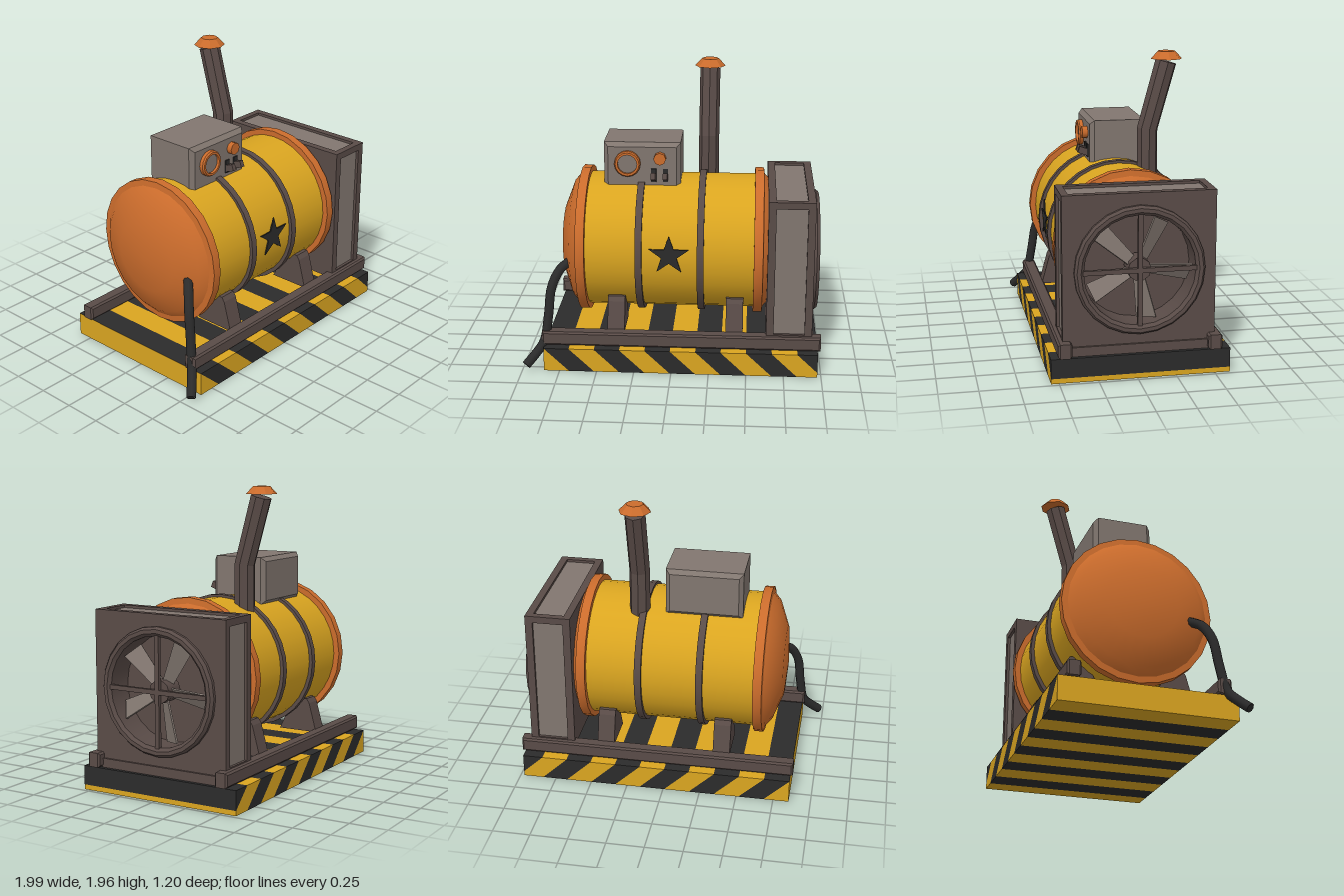
import * as THREE from 'three';
import { toCreasedNormals } from 'three/addons/utils/BufferGeometryUtils.js';

const paint = (name, color) => {
  const m = new THREE.MeshStandardMaterial({ color });
  m.name = name;
  return m;
};

export function createModel() {
  const model = new THREE.Group();
  model.name = 'generator';
  const yellow = paint('yellow paint', 0xdaa520);
  const black = paint('black rubber', 0x2b2b2b);
  const brown = paint('dark iron', 0x594b47);
  const orange = paint('orange paint', 0xcb6c2c);
  const grey = paint('grey steel', 0x81766f);

  const add = (name, geo, mat, x = 0, y = 0, z = 0, parent = model) => {
    const mesh = new THREE.Mesh(geo, mat);
    mesh.name = name;
    mesh.position.set(x, y, z);
    parent.add(mesh);
    return mesh;
  };
  const poly = (pts) => new THREE.Shape(pts.map(([x, y]) => new THREE.Vector2(x, y)));
  const extrude = (shape, depth, segments = 24) =>
    new THREE.ExtrudeGeometry(shape, { depth, bevelEnabled: false, curveSegments: segments });
  // Shape drawn in (-z, y), extruded along +x
  const extrudeX = (shape, depth) => extrude(shape, depth).rotateY(Math.PI / 2);
  const rect = (x0, y0, x1, y1) => poly([[x0, y0], [x1, y0], [x1, y1], [x0, y1]]);
  // Chamfered box given by its two corners
  const block = (name, mat, [x0, y0, z0], [x1, y1, z1], b = 0.012) => {
    const geo = new THREE.ExtrudeGeometry(rect(x0 + b, y0 + b, x1 - b, y1 - b), {
      depth: z1 - z0 - 2 * b, bevelSize: b, bevelThickness: b, bevelSegments: 1,
    });
    return add(name, geo.translate(0, 0, z0 + b), mat);
  };
  // Lathe about the x axis from [radius, x] points
  const latheX = (pts, sides) => toCreasedNormals(
    new THREE.LatheGeometry(pts.map(([r, x]) => new THREE.Vector2(r, x)), sides).rotateZ(-Math.PI / 2), 0.6);
  const cylX = (r, len, sides) => new THREE.CylinderGeometry(r, r, len, sides).rotateZ(-Math.PI / 2);
  const cylZ = (r, len, sides) => new THREE.CylinderGeometry(r, r, len, sides).rotateX(Math.PI / 2);

  // Base: slanted hazard stripes running through the whole slab
  const X0 = -0.855, X1 = 0.975, H = 0.16, W = 0.1695;
  const clip = (pts, inside, edge) => pts.flatMap((p, i) => {
    const q = pts[(i + 1) % pts.length];
    const out = inside(p) ? [p] : [];
    if (inside(p) !== inside(q)) out.push([edge, p[1] + (q[1] - p[1]) * (edge - p[0]) / (q[0] - p[0])]);
    return out;
  });
  for (let k = -1; k < 11; k++) {
    const a = X0 + k * W;
    let pts = [[a + W, 0], [a + 2 * W, 0], [a + W, H], [a, H]];
    pts = clip(pts, (p) => p[0] > X0 + 1e-6, X0);
    pts = clip(pts, (p) => p[0] < X1, X1);
    add('baseStripe', extrude(poly(pts), 1.15), k % 2 ? yellow : black, 0, 0, -0.6);
  }

  // Skid rails and cross bar
  block('backRail', brown, [-0.87, 0.165, -0.545], [0.995, 0.26, -0.455]);
  block('frontRail', brown, [-0.87, 0.165, 0.415], [0.995, 0.26, 0.505]);
  block('crossBar', brown, [0.86, 0.16, -0.47], [0.95, 0.22, 0.43], 0.01);

  // Tank with straps and domed ends
  const tank = new THREE.Group();
  tank.name = 'tank';
  tank.position.set(-0.02, 0.76, -0.025);
  model.add(tank);
  add('tankBody', cylX(0.46, 1.14, 32), yellow, 0, 0, 0, tank);
  const dome = [[0.44, 0.56], [0.5, 0.56], [0.5, 0.62], [0.46, 0.625], [0.41, 0.67], [0.24, 0.735], [0, 0.755]];
  for (const turn of [0, Math.PI]) {
    add('tankEnd', latheX(dome, 24).rotateY(turn), orange, 0, 0, 0, tank);
  }
  for (const x of [-0.203, 0.207]) add('strap', cylX(0.483, 0.045, 32), brown, x, -0.005, 0, tank);

  // Saddle legs, mirrored front to back
  const legShape = poly([[0.17, 0.24], [0.455, 0.24], [0.4, 0.44], [0.38, 0.47], [0.28, 0.47]]);
  for (const x of [-0.435, 0.36]) {
    for (const side of [0, 1]) {
      const geo = extrudeX(legShape, 0.115).translate(-0.0575, 0, 0).rotateY(side * Math.PI);
      add('leg', geo, brown, x + 0.0575, 0, -0.025);
    }
  }

  // Star plate
  const star = poly(Array.from({ length: 10 }, (_, i) => {
    const a = Math.PI / 2 + i * Math.PI / 5, r = i % 2 ? 0.054 : 0.138;
    return [r * Math.cos(a), r * Math.sin(a)];
  }));
  add('starPlate', extrude(star, 0.009), black, -0.02, 0.8, 0.44);

  // Fan housing: end plates, recessed core, corner bars
  const FY = 0.7, FZ = -0.017;
  const withHole = (hw, y0, y1) => {
    const s = rect(-hw, y0 - FY, hw, y1 - FY);
    s.holes.push(new THREE.Path().absarc(0, 0, 0.37, 0, Math.PI * 2, true));
    return s;
  };
  const housing = new THREE.Group();
  housing.name = 'fanHousing';
  housing.position.set(0, FY, FZ);
  model.add(housing);
  add('frontPlate', extrudeX(withHole(0.487, 0.22, 1.19), 0.05), brown, 0.885, 0, 0, housing);
  add('rearPlate', extrudeX(withHole(0.487, 0.22, 1.19), 0.05), brown, 0.63, 0, 0, housing);
  add('sidePanels', extrudeX(withHole(0.468, 0.24, 1.172), 0.21), grey, 0.677, 0, 0, housing);
  for (const z of [-0.464, 0.464]) {
    for (const y of [-0.455, 0.467]) {
      add('cornerBar', new THREE.BoxGeometry(0.22, 0.046, 0.046), brown, 0.78, y, z, housing);
    }
  }
  add('fanRing', latheX([[0.355, 0.7], [0.415, 0.7], [0.415, 0.955], [0.4, 0.975], [0.375, 0.975],
    [0.355, 0.955], [0.355, 0.7]], 24), brown, 0, 0, 0, housing);
  add('fanBack', cylX(0.365, 0.03, 24), brown, 0.76, 0, 0, housing);

  // Guard cross and fan
  add('guardBar', new THREE.BoxGeometry(0.025, 0.72, 0.03), brown, 0.95, 0, 0, housing);
  add('guardBar', new THREE.BoxGeometry(0.025, 0.03, 0.72), brown, 0.95, 0, 0, housing);
  add('fanHub', cylX(0.075, 0.13, 10), brown, 0.87, 0, 0, housing);
  const bladeShape = poly([[0.05, -0.035], [0.33, -0.07], [0.34, 0.06], [0.05, 0.035]]);
  for (let i = 0; i < 5; i++) {
    const geo = extrude(bladeShape, 0.012).rotateX(0.5)
      .rotateZ(THREE.MathUtils.degToRad(-7 + 72 * i)).rotateY(Math.PI / 2);
    add('fanBlade', geo, grey, 0.87, 0, 0, housing);
  }

  // Control box with gauge, knob and levers
  block('controlBox', grey, [-0.475, 1.16, -0.262], [0.04, 1.48, 0.135], 0.028);
  add('gaugeRim', toCreasedNormals(new THREE.LatheGeometry([[0.065, 0], [0.088, 0], [0.088, 0.025],
    [0.08, 0.035], [0.065, 0.035], [0.065, 0]].map(([r, y]) => new THREE.Vector2(r, y)), 16)
    .rotateX(Math.PI / 2), 0.6), orange, -0.315, 1.34, 0.134);
  add('gaugeFace', cylZ(0.067, 0.02, 16), grey, -0.315, 1.34, 0.14);
  add('knob', cylZ(0.042, 0.045, 8), orange, -0.097, 1.38, 0.15);
  for (const x of [-0.14, -0.06]) {
    add('leverSlot', new THREE.BoxGeometry(0.035, 0.09, 0.012), black, x, 1.26, 0.138);
    add('lever', new THREE.BoxGeometry(0.03, 0.045, 0.085), brown, x, 1.255, 0.16).rotation.x = -0.35;
  }

  // Exhaust pipe: bent by moving the rings of a cylinder
  const pipe = new THREE.CylinderGeometry(0.069, 0.069, 2, 8, 2);
  const rings = [[1.05, -0.217, 0], [1.45, -0.217, 0.135], [1.895, -0.34, 0.27]];
  const pos = pipe.attributes.position;
  for (let i = 0; i < pos.count; i++) {
    const [y, z, tilt] = rings[Math.round(pos.getY(i)) + 1];
    pos.setY(i, y + pos.getZ(i) * Math.tan(tilt));
    pos.setZ(i, pos.getZ(i) + z);
  }
  add('exhaustPipe', toCreasedNormals(pipe, 0.2), brown, 0.218, 0, 0);
  add('exhaustCap', toCreasedNormals(new THREE.CylinderGeometry(0.057, 0.105, 0.05, 8), 0.2),
    orange, 0.218, 1.938, -0.342);

  // Drain hose
  const hosePath = new THREE.CatmullRomCurve3([[-0.69, 0.7, 0.29], [-0.76, 0.65, 0.36], [-0.81, 0.54, 0.41],
    [-0.83, 0.36, 0.44], [-0.86, 0.18, 0.475], [-0.91, 0.11, 0.52], [-0.97, 0.045, 0.57]]
    .map((p) => new THREE.Vector3(...p)));
  add('hose', new THREE.TubeGeometry(hosePath, 24, 0.031, 8), black);
  const end = add('hoseEnd', new THREE.CircleGeometry(0.031, 8), black, -0.97, 0.045, 0.57);
  end.quaternion.setFromUnitVectors(new THREE.Vector3(0, 0, 1), hosePath.getTangent(1));

  return model;
}
